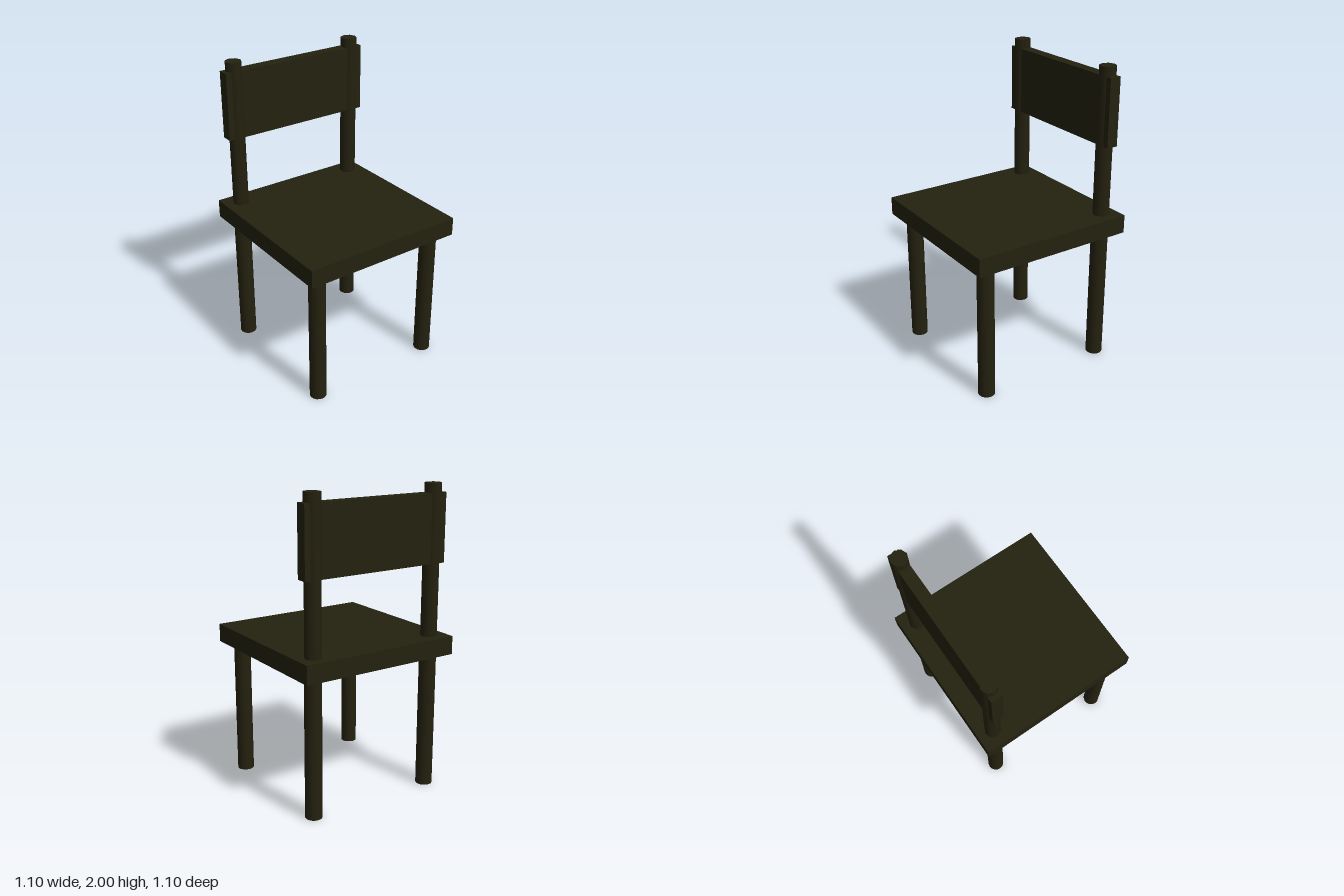
import * as THREE from 'three';

export function createModel() {
  const chair = new THREE.Group();
  chair.name = 'chair';
  const darkWood = new THREE.MeshStandardMaterial({ color: 0x24210f });
  darkWood.name = 'darkWood';

  const add = (name, geometry, x, y, z) => {
    const mesh = new THREE.Mesh(geometry, darkWood);
    mesh.name = name;
    mesh.position.set(x, y, z);
    chair.add(mesh);
  };
  const box = (name, w, y0, y1, d, z) =>
    add(name, new THREE.BoxGeometry(w, y1 - y0, d), 0, (y0 + y1) / 2, z);
  const rod = (name, r, sides, y0, y1, x, z) =>
    add(name, new THREE.CylinderGeometry(r, r, y1 - y0, sides), x, (y0 + y1) / 2, z);

  // Square seat and flat backrest board
  box('seat', 1.1, 0.91, 1.03, 1.1, 0);
  box('backrest', 1.03, 1.5, 1.94, 0.076, -0.443);

  // Four legs, with a back post above each rear leg
  for (const [side, x] of [['left', 0.44], ['right', -0.44]]) {
    rod(side + 'FrontLeg', 0.055, 16, 0, 0.92, x, 0.44);
    rod(side + 'BackLeg', 0.055, 16, 0, 0.92, x, -0.44);
    rod(side + 'BackPost', 0.053, 8, 1.02, 2, x, -0.443);
  }
  return chair;
}
